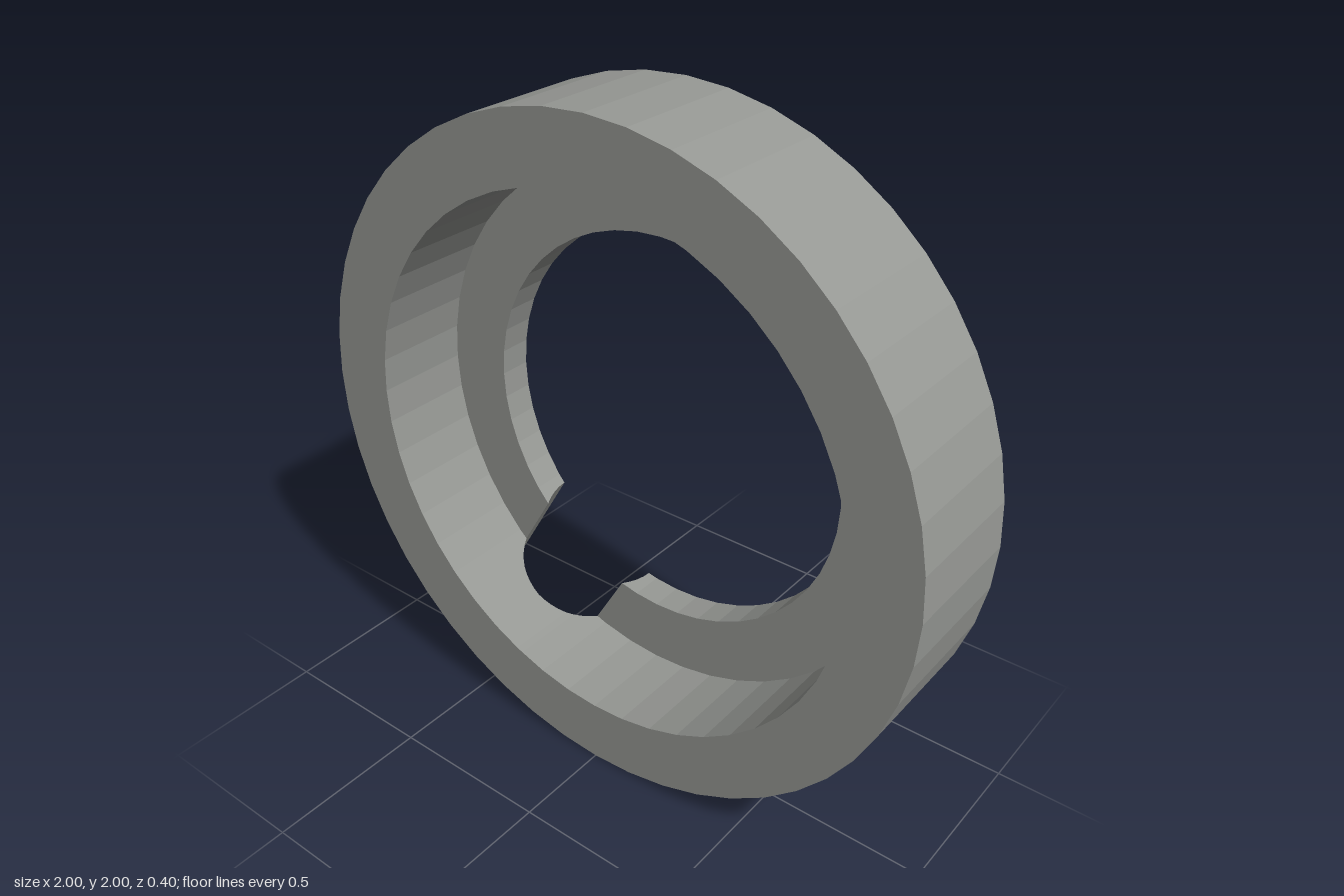
import * as THREE from 'three';

const SIDES = 48, STEP = (Math.PI * 2) / SIDES;
const OUTER = 1, RECESS = 0.8, BORE = 0.6;      // radii
const FRONT = 0.2, LEDGE = -0.1, BACK = -0.2;   // z levels
const GROOVE = 0.2, ARC = 24;                   // groove radius, arc steps

// x of the 48-sided ring of radius r at side offset y (slot side, x > 0)
function ringX(r, y) {
  const k = Math.floor(Math.asin(Math.abs(y) / r) / STEP + 1e-6);
  const y0 = r * Math.sin(k * STEP), y1 = r * Math.sin((k + 1) * STEP);
  const t = (Math.abs(y) - y0) / (y1 - y0);
  return r * THREE.MathUtils.lerp(Math.cos(k * STEP), Math.cos((k + 1) * STEP), t);
}

// Points where the ring of radius r meets the groove, with groove height
function groovePoints(r) {
  return Array.from({ length: ARC + 1 }, (_, i) => {
    const t = (i / ARC) * Math.PI, y = -GROOVE * Math.cos(t);
    return new THREE.Vector3(ringX(r, y), y, BACK + GROOVE * Math.sin(t));
  });
}

// Ring corners away from the groove, counter-clockwise
function plainPoints(r) {
  const pts = [];
  for (let k = 1; k < SIDES; k++) {
    const x = r * Math.cos(k * STEP), y = r * Math.sin(k * STEP);
    if (x < 0 || Math.abs(y) > GROOVE + 1e-4) pts.push(new THREE.Vector3(x, y, BACK));
  }
  return pts;
}

// Closed loop around the ring, starting with the groove
function contour(r) {
  const g = groovePoints(r);
  return [...g, ...plainPoints(r), g[0].clone()];
}

const withZ = (pts, f) => pts.map((p) => new THREE.Vector3(p.x, p.y, f(p.z)));

// Faceted strip between two curves, skipping collapsed quads
function ruled(lo, hi) {
  const out = [];
  for (let i = 0; i < lo.length - 1; i++) {
    const a = lo[i], b = lo[i + 1], c = hi[i + 1], d = hi[i];
    if (b.distanceTo(c) > 1e-6) out.push(a, b, c);
    if (a.distanceTo(d) > 1e-6) out.push(a, c, d);
  }
  const geo = new THREE.BufferGeometry().setFromPoints(out);
  geo.computeVertexNormals();
  return geo;
}

// Flat C-shaped face between two radii, open where the slot passes
function openRing(rOut, rIn, halfSlot) {
  const side = (r) => {
    const g = groovePoints(r);
    const keep = (p) => Math.abs(p.y) > halfSlot - 1e-6;
    return [
      ...g.filter((p) => p.y > 0 && keep(p)),
      ...plainPoints(r),
      ...g.filter((p) => p.y < 0 && keep(p)),
    ];
  };
  return new THREE.ShapeGeometry(new THREE.Shape([...side(rOut), ...side(rIn).reverse()]));
}

export function createModel() {
  const grey = new THREE.MeshStandardMaterial({ color: 0x969894 });
  grey.name = 'grey';
  const ring = new THREE.Group();
  ring.name = 'slottedRing';
  const add = (name, geo) => {
    const mesh = new THREE.Mesh(geo, grey);
    mesh.name = name;
    ring.add(mesh);
    return mesh;
  };

  const outer = contour(OUTER), recess = contour(RECESS), bore = contour(BORE);
  const atFront = () => FRONT;

  // Round walls
  add('outerWall', ruled(outer, withZ(outer, atFront)));
  add('recessWall', ruled(withZ(recess, atFront), withZ(recess, (z) => Math.max(z, LEDGE))));
  add('boreWall', ruled(withZ(bore, () => LEDGE), withZ(bore, (z) => Math.min(z, LEDGE))));

  // Flat faces
  add('frontRim', ruled(withZ(recess, atFront), withZ(outer, atFront)).clone());
  const frontRim = ring.getObjectByName('frontRim');
  const rim = new THREE.Shape(outer.slice(0, -1).map((p) => new THREE.Vector2(p.x, p.y)));
  rim.holes.push(new THREE.Path(recess.slice(0, -1).map((p) => new THREE.Vector2(p.x, p.y))));
  frontRim.geometry = new THREE.ShapeGeometry(rim).translate(0, 0, FRONT);
  const ledgeSlot = Math.sqrt(GROOVE ** 2 - (LEDGE - BACK) ** 2);
  add('ledge', openRing(RECESS, BORE, ledgeSlot).translate(0, 0, LEDGE));
  add('backFace', openRing(OUTER, BORE, GROOVE).rotateX(Math.PI).translate(0, 0, BACK));

  // Half-round radial groove: its flanks cut the ledge, its middle cuts the rim
  const gOut = groovePoints(OUTER), cut = ARC / 6;
  [[0, cut, BORE], [cut, ARC - cut, RECESS], [ARC - cut, ARC, BORE]].forEach(([from, to, r]) => {
    add('groove', ruled(groovePoints(r).slice(from, to + 1), gOut.slice(from, to + 1)));
  });

  // Turn the slot to the lower right side and stand the ring up
  ring.rotation.z = (240 * Math.PI) / 180;
  ring.position.y = 1;
  const model = new THREE.Group();
  model.name = 'model';
  model.add(ring);
  return model;
}
